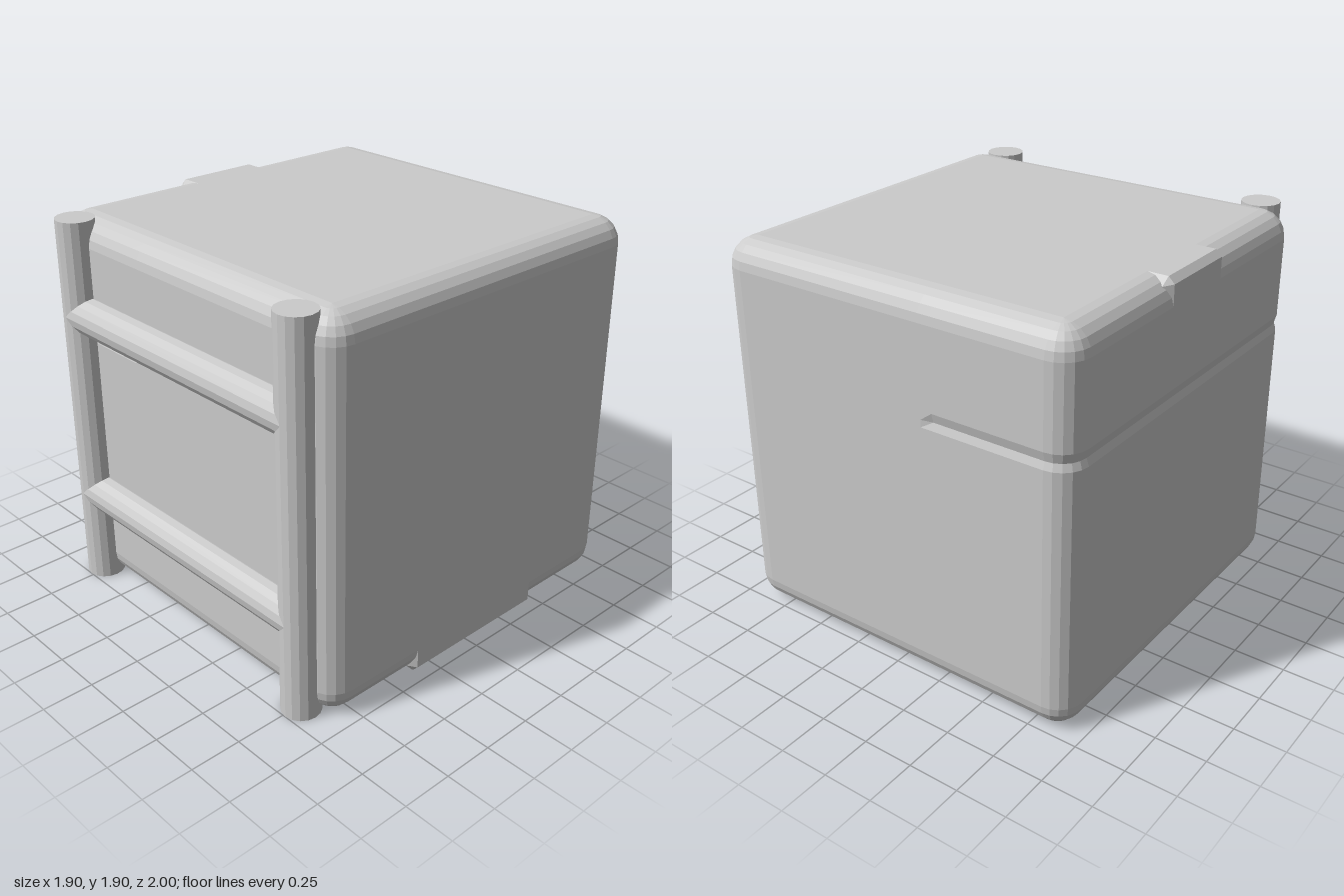
import * as THREE from 'three';

const R = 0.13; // edge rounding of the body
const material = new THREE.MeshStandardMaterial({ color: 0xcccccc, flatShading: true });

// Joins closed rings of points, one after the other, into a skin
function loft(rings) {
  const n = rings[0].length, index = [];
  for (let j = 0; j < rings.length - 1; j++) {
    for (let i = 0; i < n; i++) {
      const a = j * n + i, b = j * n + (i + 1) % n;
      index.push(a, b, b + n, a, b + n, a + n);
    }
  }
  const geometry = new THREE.BufferGeometry();
  geometry.setAttribute('position', new THREE.Float32BufferAttribute(rings.flat(2), 3));
  geometry.setIndex(index);
  geometry.computeVertexNormals();
  return geometry;
}

// Rounded cube with a shallow groove wrapping around its left-hand edge faces
function bodyGeometry() {
  const steps = 5, cx = 0.95 - R, zc = -0.05;
  const outline = []; // [centre x, centre z, angle, groove amount]
  const corner = (sx, sz, start) => {
    for (let k = 0; k <= steps; k++) {
      outline.push([sx * cx, zc + sz * cx, start + (k / steps) * Math.PI / 2, sx < 0 ? 1 : 0]);
    }
  };
  corner(1, 1, 0);
  outline.push([-0.3, zc + cx, Math.PI / 2, 0], [-0.36, zc + cx, Math.PI / 2, 1]);
  corner(-1, 1, Math.PI / 2);
  corner(-1, -1, Math.PI);
  outline.push([-0.26, zc - cx, Math.PI * 1.5, 1], [-0.2, zc - cx, Math.PI * 1.5, 0]);
  corner(1, -1, Math.PI * 1.5);

  const ring = (y, inset, groove = 0) => outline.map(([x, z, a, g]) => {
    const r = R - inset - groove * g;
    return [x + r * Math.cos(a), y, z + r * Math.sin(a)];
  });
  const centre = (y) => outline.map(() => [0, y, zc]);

  const upper = [], lower = [];
  for (let k = 0; k <= steps; k++) {
    const t = (k / steps) * Math.PI / 2;
    const inset = R * (1 - Math.sin(t)), drop = R * (1 - Math.cos(t));
    upper.push(ring(1.9 - drop, inset));
    lower.unshift(ring(drop, inset));
  }
  const groove = [ring(1.38, 0), ring(1.335, 0, 0.012), ring(1.3, 0)];
  return loft([centre(1.9), ...upper, ...groove, ...lower, centre(0)]);
}

// Squared-off stretch of a rounded edge, with pointed ends
function edgeGeometry(z0, z1) {
  const section = [[-0.82, 0.95], [-0.92, 0.95], [-0.95, 0.92], [-0.95, 0.82]];
  const ring = (z) => section.map(([x, y]) => [x, y, z]);
  const tip = (z) => section.map(() => [-0.911, 0.911, z]);
  return loft([tip(z0 - 0.035), ring(z0), ring(z1), tip(z1 + 0.035)]);
}

export function createModel() {
  const group = new THREE.Group();
  const add = (name, geometry, x = 0, y = 0, z = 0) => {
    const mesh = new THREE.Mesh(geometry, material);
    mesh.name = name;
    mesh.position.set(x, y, z);
    group.add(mesh);
    return mesh;
  };

  add('body', bodyGeometry());

  // Squared edges: one along the upper side, one along the opposite lower side
  add('upperSquaredEdge', edgeGeometry(-0.255, 0.155), 0, 0.95);
  add('lowerSquaredEdge', edgeGeometry(-0.44, 0.355), 0, 0.95).rotation.z = Math.PI;

  // Ladder on the front
  const post = new THREE.CylinderGeometry(0.094, 0.094, 1.9, 16);
  for (const [side, name] of [[1, 'leftPost'], [-1, 'rightPost']]) {
    add(name, post, side * 0.765, 0.95, 0.905);
  }
  const rung = new THREE.CylinderGeometry(0.095, 0.095, 1.53, 16).rotateZ(Math.PI / 2);
  add('lowerRung', rung, 0, 0.478, 0.905);
  add('upperRung', rung, 0, 1.432, 0.905);

  return group;
}
